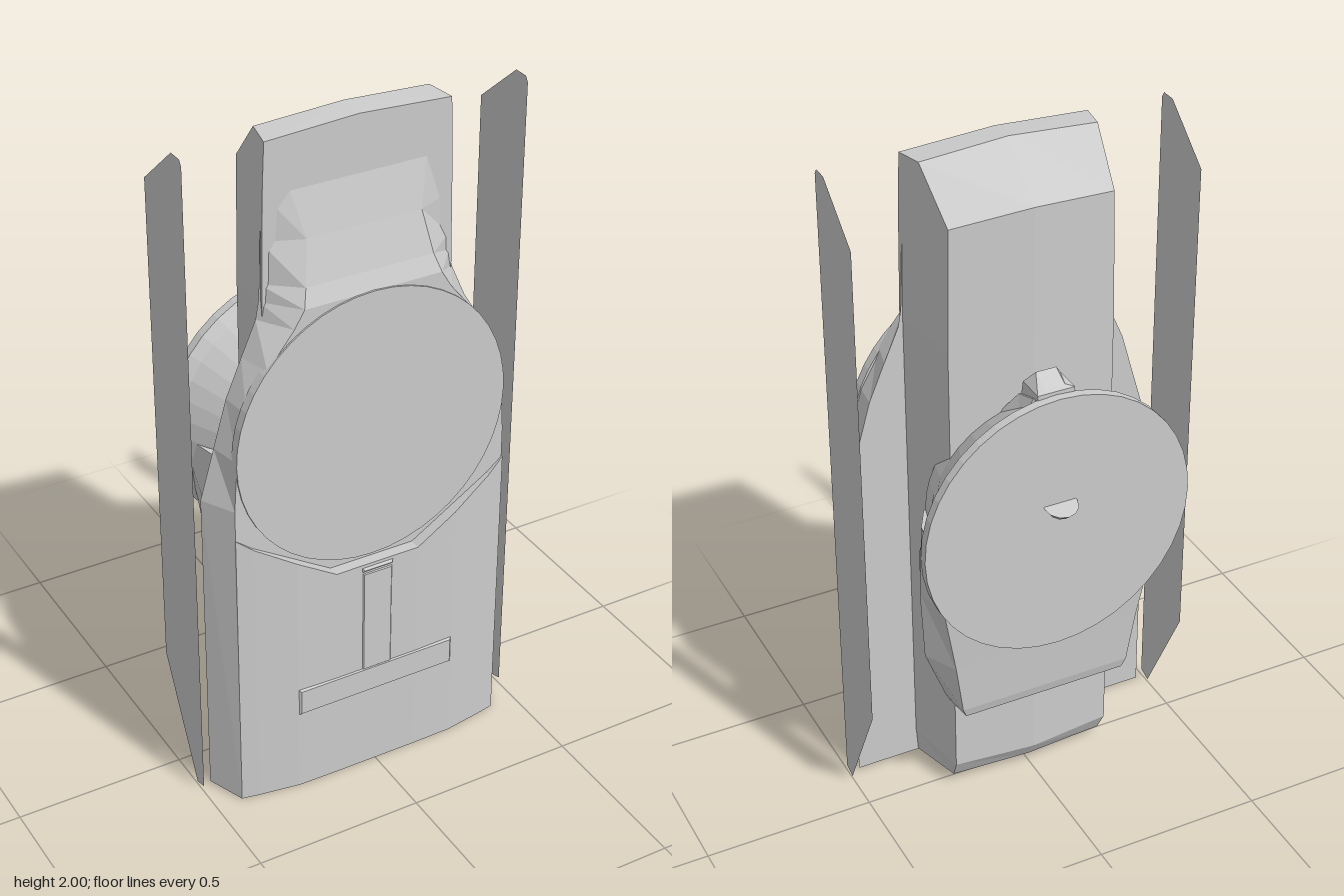
import * as THREE from 'three';

const grey = new THREE.MeshStandardMaterial({ color: 0xcccccc, flatShading: true });
const greyThin = new THREE.MeshStandardMaterial({ color: 0xcccccc, flatShading: true, side: THREE.DoubleSide });

// Closed solid through a list of convex cross-sections, each a loop of [x, y, z].
function loft(sections) {
  const n = sections[0].length, tris = [];
  const quad = (a, b, c, d) => tris.push(a, b, c, a, c, d);
  for (let s = 0; s < sections.length - 1; s++) {
    for (let i = 0; i < n; i++) {
      const j = (i + 1) % n;
      quad(sections[s][i], sections[s][j], sections[s + 1][j], sections[s + 1][i]);
    }
  }
  const first = sections[0], last = sections[sections.length - 1];
  for (let i = 1; i < n - 1; i++) {
    tris.push(first[0], first[i + 1], first[i]);
    tris.push(last[0], last[i], last[i + 1]);
  }
  // Turn the faces outward if the enclosed volume comes out negative.
  let volume = 0;
  for (let i = 0; i < tris.length; i += 3) {
    const [a, b, c] = [0, 1, 2].map(k => new THREE.Vector3(...tris[i + k]));
    volume += a.dot(b.cross(c));
  }
  if (volume < 0) tris.reverse();
  const geometry = new THREE.BufferGeometry();
  geometry.setAttribute('position', new THREE.Float32BufferAttribute(tris.flat(), 3));
  geometry.computeVertexNormals();
  return geometry;
}

// Mirrors half a loop, given from the back to the front as [x, y, z], across x = 0.
const mirrored = half => [...half, ...half.slice().reverse().map(([x, y, z]) => [-x, y, z])];

export function createModel() {
  const group = new THREE.Group();
  const add = (name, geometry, material = grey) => {
    const mesh = new THREE.Mesh(geometry, material);
    mesh.name = name;
    group.add(mesh);
    return mesh;
  };

  // Central housing: ridged back, chamfered top and bottom
  const ring = (w, backY, midY, frontY, backZ, ridgeZ) => [
    [0, midY, ridgeZ], [w, backY, backZ], [w + 0.04, frontY, 0.155],
    [0, frontY + (midY - backY), 0.155], [-w - 0.04, frontY, 0.155], [-w, backY, backZ]];
  const top = [[0, 2, 0.075], [0.256, 1.985, 0.07], [0.272, 1.98, 0.155],
    [0, 1.995, 0.155], [-0.272, 1.98, 0.155], [-0.256, 1.985, 0.07]];
  add('centralHousing', loft([
    ring(0.24, 0.03, 0.03, 0.012, -0.03, -0.045),
    ring(0.245, 0.09, 0.08, 0.09, -0.06, -0.075),
    ring(0.245, 1.5, 1.5, 1.5, -0.06, -0.075),
    ring(0.238, 1.85, 1.865, 1.85, -0.06, -0.075),
    top]));

  // Wide front plate flowing into the neck: y, back half width, front half width, front z
  const plate = [
    [0, 0.47, 0.42, 0.24], [0.98, 0.47, 0.418, 0.236], [1.13, 0.427, 0.408, 0.236],
    [1.27, 0.387, 0.378, 0.236], [1.38, 0.34, 0.315, 0.236], [1.48, 0.296, 0.235, 0.236],
    [1.53, 0.287, 0.205, 0.236], [1.58, 0.284, 0.19, 0.216], [1.7, 0.28, 0.17, 0.185], [1.83, 0.27, 0.2, 0.155]];
  add('frontPlate', loft(plate.map(([y, wb, wf, z]) =>
    mirrored([[wb, y === 0 ? 0.012 : y, 0.14], [wf, y, z]]))));

  // Flat round face
  const face = add('frontDisc', new THREE.CylinderGeometry(0.412, 0.412, 0.03, 48).rotateX(Math.PI / 2));
  face.position.set(0, 1.12, 0.226);

  // Lower cover with a scooped upper edge: x, z, top y
  const side = [[0.42, 0.24, 0.89], [0.37, 0.25, 0.85], [0.25, 0.269, 0.775], [0.13, 0.271, 0.7]];
  const cover = [...side.map(([x, z, y]) => [-x, z, y]), ...side.slice().reverse()];
  add('lowerCover', loft(cover.map(([x, z, y]) =>
    [[x, 0, 0.2], [x, 0, z], [x, y, z], [x, y, 0.2]])));

  // Raised inverted T and tab on the cover, with bevelled rims
  const raised = (name, w, y0, y1, z) => add(name, loft([
    mirrored([[w, y0, 0.262], [w, y1, 0.262]]),
    mirrored([[w - 0.012, y0 + 0.012, z], [w - 0.012, y1 - 0.012, z]])]));
  raised('trimBar', 0.255, 0.25, 0.35, 0.275);
  raised('trimStem', 0.055, 0.33, 0.68, 0.274);
  raised('trimTab', 0.055, 0.67, 0.697, 0.278);

  // Thin free-standing side panels
  const outline = [[0.16, 0.02], [0.12, 0.008], [-0.055, 0.355], [-0.055, 1.85], [0.105, 1.985], [0.15, 1.985], [0.16, 1.97]];
  const shape = new THREE.Shape(outline.map(([z, y]) => new THREE.Vector2(-z, y)));
  for (const s of [1, -1]) {
    const panel = add(s > 0 ? 'leftPanel' : 'rightPanel',
      new THREE.ShapeGeometry(shape).rotateY(Math.PI / 2), greyThin);
    panel.position.x = s * 0.5;
  }

  // Rear drum: cone widening to a rimmed flat disc
  const profile = [[0, -0.01], [0.29, -0.01], [0.31, 0.06], [0.375, 0.17], [0.4, 0.197], [0.4, 0.225], [0, 0.225]];
  const drum = add('rearDrum', new THREE.LatheGeometry(
    profile.map(p => new THREE.Vector2(...p)), 40).rotateX(-Math.PI / 2));
  drum.position.y = 0.975;

  // Rear block below the drum: y, back half width, back z, middle half width, front half width
  const block = [[0.34, 0.25, -0.145, 0.26, 0.25], [0.37, 0.262, -0.152, 0.275, 0.262],
    [0.53, 0.285, -0.16, 0.335, 0.29], [0.75, 0.325, -0.175, 0.345, 0.295], [0.97, 0.36, -0.19, 0.335, 0.295]];
  add('rearBlock', loft(block.map(([y, wb, zb, wm, wf]) =>
    mirrored([[wb, y, zb], [wm, y, -0.06], [wf, y, 0.01]]))));

  // Latch on top of the drum, with a sloped base and a rounded hook
  add('latchBase', loft([
    mirrored([[0.13, 1.2, -0.18], [0.13, 1.2, -0.05]]),
    mirrored([[0.1, 1.3, -0.18], [0.1, 1.27, -0.06]]),
    mirrored([[0.06, 1.37, -0.185], [0.06, 1.34, -0.1]])]));
  add('latchHook', loft([
    mirrored([[0.055, 1.32, -0.2], [0.055, 1.32, -0.1]]),
    mirrored([[0.055, 1.385, -0.2], [0.055, 1.385, -0.115]]),
    mirrored([[0.03, 1.395, -0.19], [0.03, 1.42, -0.14]])]));

  // Small rounded peg at the middle of the rear disc
  const peg = add('rearPeg', new THREE.CylinderGeometry(0.05, 0.035, 0.022, 12));
  peg.position.set(0, 1.035, -0.228);
  peg.rotation.x = -0.25;

  // Side button
  const button = add('sideButton', new THREE.CylinderGeometry(0.07, 0.07, 0.03, 16)
    .scale(1, 1, 0.4).rotateZ(Math.PI / 2));
  button.position.set(0.275, 0.76, 0.035);

  return group;
}
